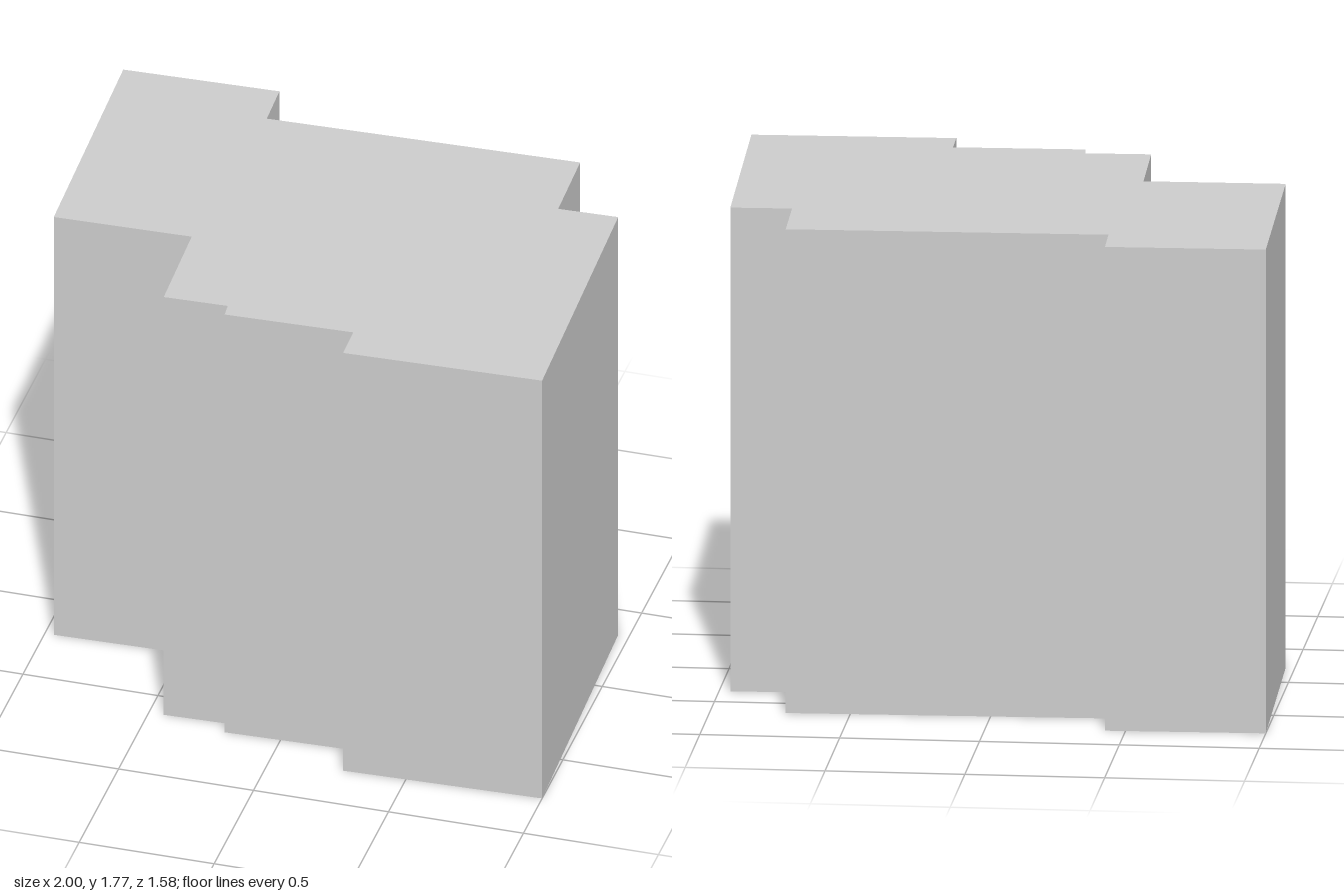
import * as THREE from 'three';

const HEIGHT = 1.77;

// Floor plan corners [x, z], counter-clockwise from above, starting at the front right
const PLAN = [
  [-0.967, 0.222], [-0.46, 0.208], [-0.445, 0.615], [-0.21, 0.607],
  [-0.205, 0.664], [0.267, 0.648], [0.27, 0.787], [1, 0.763],
  [0.96, -0.34], [0.74, -0.332], [0.73, -0.645], [-0.42, -0.608],
  [-0.427, -0.792], [-1, -0.773],
];

export function createModel() {
  const model = new THREE.Group();
  model.name = 'building';
  const material = new THREE.MeshStandardMaterial({
    color: 0xcccccc, flatShading: true, side: THREE.DoubleSide,
  });

  // Outer walls: one flat quad per plan edge, open underneath
  const positions = [];
  PLAN.forEach(([ax, az], i) => {
    const [bx, bz] = PLAN[(i + 1) % PLAN.length];
    positions.push(ax, 0, az, bx, 0, bz, bx, HEIGHT, bz);
    positions.push(ax, 0, az, bx, HEIGHT, bz, ax, HEIGHT, az);
  });
  const wallGeometry = new THREE.BufferGeometry();
  wallGeometry.setAttribute('position', new THREE.Float32BufferAttribute(positions, 3));
  wallGeometry.computeVertexNormals();
  const walls = new THREE.Mesh(wallGeometry, material);
  walls.name = 'walls';

  // Flat roof closing the top
  const outline = new THREE.Shape(PLAN.map(([x, z]) => new THREE.Vector2(x, -z)));
  const roofGeometry = new THREE.ShapeGeometry(outline);
  roofGeometry.rotateX(-Math.PI / 2).translate(0, HEIGHT, 0);
  const roof = new THREE.Mesh(roofGeometry, material);
  roof.name = 'roof';

  model.add(walls, roof);
  return model;
}
